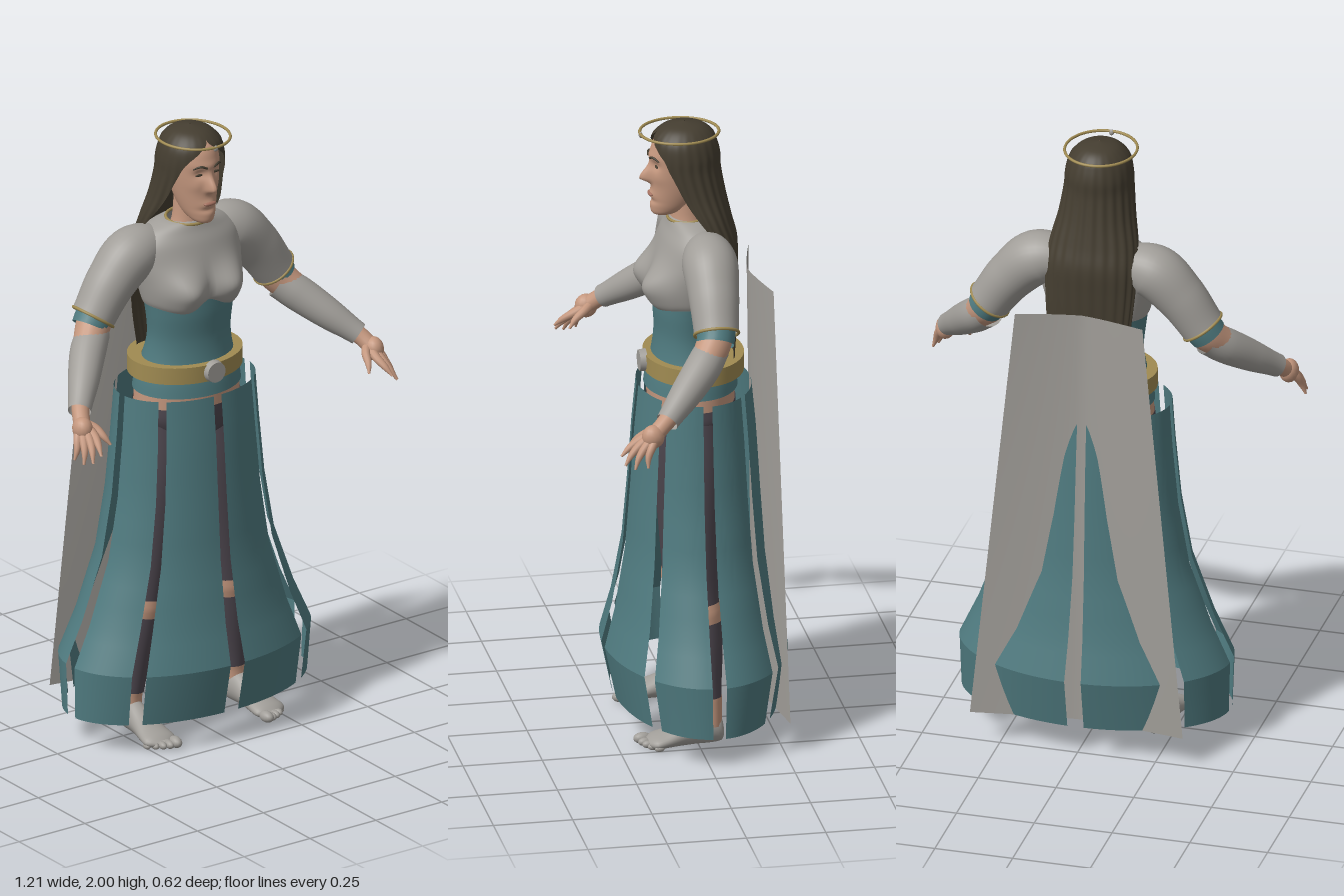
import * as THREE from 'three';
import { mergeVertices, toCreasedNormals } from 'three/addons/utils/BufferGeometryUtils.js';

const mat = (name, color, side = THREE.DoubleSide) => new THREE.MeshStandardMaterial({ name, color, side });
const M = {
  cloth: mat('grey cloth', 0xa19e99), teal: mat('teal cloth', 0x4f7a7f), hair: mat('dark brown hair', 0x443d30),
  skin: mat('skin', 0xc4977e), gold: mat('dull gold', 0xa08b52), legging: mat('dark legging', 0x4e474f),
  lip: mat('lip', 0xa3705f),
};
const { lerp } = THREE.MathUtils;
const V = (x, y, z) => new THREE.Vector3(x, y, z);
const bump = (d, w) => Math.exp(-((d / w) ** 2));

// Rectangular patch of points p(u, v), with coincident points joined
function grid(p, nu, nv, crease = 0) {
  const pos = [], idx = [];
  for (let j = 0; j <= nv; j++) for (let i = 0; i <= nu; i++) pos.push(...p(i / nu, j / nv).toArray());
  for (let j = 0; j < nv; j++) for (let i = 0; i < nu; i++) {
    const a = j * (nu + 1) + i, b = a + nu + 1;
    idx.push(a, a + 1, b + 1, a, b + 1, b);
  }
  let g = new THREE.BufferGeometry();
  g.setAttribute('position', new THREE.Float32BufferAttribute(pos, 3));
  g.setIndex(idx);
  g = mergeVertices(g, 1e-5);
  g.computeVertexNormals();
  return crease ? toCreasedNormals(g, crease) : g;
}

// Interpolates a table of rows, smoothly or in straight steps
function sample(rows, t, smooth = true) {
  const f = t * (rows.length - 1), i = Math.min(Math.floor(f), rows.length - 2), k = f - i;
  const at = n => rows[Math.max(0, Math.min(rows.length - 1, n))];
  return rows[i].map((b, c) => {
    const a = at(i - 1)[c], d = at(i + 1)[c], e = at(i + 2)[c];
    if (!smooth) return lerp(b, d, k);
    return b + 0.5 * k * (d - a + k * (2 * a - 5 * b + 4 * d - e + k * (3 * (b - d) + e - a)));
  });
}

// Body of elliptical rings; rows are [y, half width, front z, back z], rising
function loft(rows, { nu = 40, nv = 40, smooth = true, crease = 0, warp = p => p } = {}) {
  return grid((u, v) => {
    const [y, rx, zf, zb] = sample(rows, v, smooth), a = u * Math.PI * 2;
    return warp(V(rx * Math.sin(a), y, (zf + zb) / 2 + (zf - zb) / 2 * Math.cos(a)));
  }, nu, nv, crease);
}

// Round limb of changing radius along a curve
function limb(pts, radii, nu = 20, nv = 20) {
  const curve = new THREE.CatmullRomCurve3(pts.map(p => V(...p)));
  const fr = curve.computeFrenetFrames(nv), rows = radii.map(r => [r]);
  return grid((u, v) => {
    const a = u * Math.PI * 2, r = sample(rows, v)[0], j = Math.round(v * nv);
    return curve.getPoint(v).addScaledVector(fr.normals[j], r * Math.cos(a)).addScaledVector(fr.binormals[j], r * Math.sin(a));
  }, nu, nv);
}

export function createModel() {
  const model = new THREE.Group();
  const add = (name, geo, m, parent = model) => {
    const mesh = new THREE.Mesh(geo, m);
    mesh.name = name;
    parent.add(mesh);
    return mesh;
  };
  const ball = (name, m, pos, size, parent) => {
    const b = add(name, new THREE.SphereGeometry(1, 16, 12), m, parent);
    b.position.set(...pos);
    b.scale.set(...size);
    return b;
  };

  // Head and neck
  add('head', loft([[1.692, .004, .085, .06], [1.702, .03, .106, .03], [1.725, .046, .112, -.02], [1.765, .059, .11, -.05],
    [1.81, .068, .11, -.065], [1.86, .074, .112, -.07], [1.91, .075, .11, -.072], [1.95, .066, .092, -.06], [1.98, .03, .05, -.03]], {
    nu: 72, nv: 72, warp: p => {
      if (p.z < .04) return p;
      const ax = Math.abs(p.x), y = p.y;
      p.z += .036 * bump(ax, .014) * bump(y - 1.818, y > 1.818 ? .036 : .013)
        + .006 * bump(y - 1.765, .012) * bump(ax, .024) - .006 * bump(y - 1.745, .008) * bump(ax, .03)
        - .010 * bump(ax - .03, .017) * bump(y - 1.866, .015) + .004 * bump(y - 1.893, .012) * bump(ax, .05)
        + .004 * bump(ax - .042, .02) * bump(y - 1.825, .02);
      return p;
    },
  }), M.skin);
  add('neck', loft([[1.64, .068, .055, -.07], [1.69, .052, .048, -.055], [1.77, .047, .05, -.05]], { nv: 10 }), M.skin);
  ball('lips', M.lip, [0, 1.766, .111], [.023, .007, .009]);
  for (const s of [1, -1]) {
    ball('eyelid', M.hair, [s * .031, 1.864, .098], [.015, .004, .004]);
    add('eyebrow', limb([[s * .012, 1.888, .116], [s * .033, 1.896, .11], [s * .052, 1.886, .094]], [.003, .004, .002], 8, 10), M.hair);
  }

  // Long hair: rows are [y, half width, depth radius, centre z, opening angle]
  const hairRows = [[1.235, .105, .014, -.13, 1.6], [1.35, .125, .028, -.125, 1.6], [1.45, .136, .04, -.117, 1.6],
    [1.54, .143, .056, -.102, 1.6], [1.62, .145, .072, -.085, 1.55], [1.69, .138, .085, -.055, 1.3], [1.77, .12, .1, -.022, 1.12],
    [1.85, .109, .108, 0, .98], [1.9, .106, .11, .004, .76], [1.94, .098, .103, .007, .34], [1.965, .083, .09, .006, .03],
    [1.988, .053, .058, .005, 0], [2, .002, .002, .004, 0]];
  add('hair', grid((u, v) => {
    const [y, rx, rz, cz, open] = sample(hairRows, v);
    const a = lerp(Math.max(0, open), Math.PI * 2 - Math.max(0, open), u);
    const strand = 1 + .016 * Math.sin(a * 22) * Math.min(1, (2 - y) * 6);
    return V(rx * strand * Math.sin(a), y, cz + rz * strand * Math.cos(a));
  }, 120, 60), M.hair);

  // Circlet with a small stone
  const circlet = add('circlet', new THREE.TorusGeometry(.112, .0045, 8, 64).rotateX(Math.PI / 2), M.gold);
  circlet.position.set(0, 1.966, .02);
  circlet.scale.z = 1.1;
  ball('circletStone', M.cloth, [0, 1.962, .142], [.008, .01, .006]);

  // Blouse, with a scalloped hem under the bust
  add('blouse', loft([[1.425, .157, .1, -.112], [1.445, .165, .108, -.117], [1.5, .178, .108, -.126], [1.56, .19, .098, -.132],
    [1.62, .188, .08, -.13], [1.66, .148, .062, -.11], [1.683, .1, .054, -.085], [1.69, .07, .05, -.065]], {
    nu: 72, nv: 48, warp: p => {
      const front = p.z > 0 ? Math.min(1, p.z / .05) : 0, ax = Math.abs(p.x);
      p.z += front * .055 * bump(ax - .085, .066) * bump(p.y - 1.482, .062);
      p.y += bump(p.y - 1.425, .02) * front * (.018 * bump(ax, .04) - .012 * bump(ax - .09, .05));
      return p;
    },
  }), M.cloth);
  const necklace = add('necklace', new THREE.TorusGeometry(.073, .005, 8, 48).rotateX(Math.PI / 2 + .08), M.gold);
  necklace.position.set(0, 1.687, -.006);
  necklace.scale.z = .86;

  // Corset, belt, buckle and hips
  add('corset', loft([[1.13, .18, .13, -.16], [1.18, .172, .122, -.15], [1.24, .152, .106, -.125], [1.31, .142, .098, -.104],
    [1.39, .15, .102, -.104], [1.455, .16, .1, -.115]]), M.teal);
  add('belt', loft([[1.18, .16, .105, -.145], [1.18, .19, .132, -.18], [1.235, .19, .132, -.18], [1.235, .15, .1, -.13]],
    { nu: 64, nv: 3, smooth: false, crease: .6 }), M.gold);
  const buckle = add('buckle', new THREE.CylinderGeometry(.033, .036, .022, 32).rotateX(Math.PI / 2), M.cloth);
  buckle.position.set(0, 1.21, .137);
  add('hipSkin', loft([[1.085, .178, .12, -.15], [1.14, .176, .122, -.152]], { nv: 4 }), M.skin);
  add('leggingHips', loft([[.955, .03, .05, -.07], [.99, .14, .095, -.13], [1.04, .18, .115, -.15], [1.09, .18, .122, -.153]], { nv: 16 }), M.legging);

  // Skirt of eight flared panels
  const skirtRows = [[.1, .43, .25], [.27, .435, .286], [.4, .375, .253], [.6, .302, .22], [.8, .266, .204], [1, .247, .19], [1.135, .238, .177]];
  for (const [name, a0, a1] of [['frontPanel', 3.5, 42.5], ['frontSidePanel', 49.5, 85.5], ['backSidePanel', 94.5, 130.5], ['backPanel', 137.5, 176.5]])
    for (const s of [1, -1]) add(name, grid((u, v) => {
      const [y, rx, rz] = sample(skirtRows, v, false);
      const a = THREE.MathUtils.degToRad(s > 0 ? lerp(a0, a1, u) : -lerp(a1, a0, u));
      return V(rx * Math.sin(a), y, -.025 + rz * Math.cos(a));
    }, 14, 18, .38), M.teal);

  // Cape hanging behind, hollow along the middle
  add('cape', grid((u, v) => {
    const k = 1 - 2 * u;
    return V(k * lerp(.342, .205, v), lerp(.1, 1.49, v), lerp(-.222, -.195, v) - .043 * Math.abs(k) ** 1.3);
  }, 24, 24), M.cloth);

  for (const s of [1, -1]) {
    // Arm: sleeve, trim, cuff, forearm
    const arm = new THREE.Group();
    arm.name = s > 0 ? 'leftArm' : 'rightArm';
    model.add(arm);
    const side = pts => pts.map(([x, y, z]) => [s * x, y, z]);
    add('sleeve', limb(side([[.09, 1.605, -.04], [.185, 1.595, -.04], [.27, 1.52, -.037], [.342, 1.42, -.032]]), [.065, .086, .079, .07], 32, 24), M.cloth, arm);
    const trim = add('sleeveTrim', new THREE.TorusGeometry(.069, .005, 8, 32), M.gold, arm);
    trim.position.set(s * .342, 1.42, -.032);
    trim.quaternion.setFromUnitVectors(V(0, 0, 1), V(s * .58, -.81, .04).normalize());
    add('elbow', limb(side([[.3, 1.475, -.035], [.345, 1.4, -.025], [.39, 1.35, .01]]), [.052, .055, .05]), M.skin, arm);
    add('armBand', limb(side([[.322, 1.445, -.033], [.34, 1.418, -.031], [.358, 1.392, -.025]]), [.06, .06, .059], 24, 6), M.teal, arm);
    add('forearmSleeve', limb(side([[.352, 1.375, -.018], [.4, 1.335, .022], [.465, 1.275, .09], [.53, 1.215, .16]]), [.053, .056, .049, .036], 28, 24), M.cloth, arm);

    // Hand: palm, four fingers and thumb
    add('wrist', limb(side([[.515, 1.228, .145], [.535, 1.205, .175], [.552, 1.175, .21]]), [.029, .027, .027], 16, 8), M.skin, arm);
    ball('palm', M.skin, [s * .552, 1.178, .208], [.031, .038, .036], arm);
    const digits = [[[.535, 1.165, .245], [.552, 1.12, .308]], [[.553, 1.158, .245], [.577, 1.098, .3]],
      [[.566, 1.155, .232], [.592, 1.088, .272]], [[.575, 1.155, .215], [.599, 1.092, .232]], [[.513, 1.175, .222], [.49, 1.13, .272]]];
    digits.forEach(([mid, tip], i) => {
      const knuckle = mid.map((c, k) => lerp(c, tip[k], .5));
      knuckle[2] += .006;
      add(i < 4 ? 'finger' : 'thumb', limb(side([[.543, 1.19, .19], mid, knuckle, tip]), [.016, .014, .0105, .004], 10, 14), M.skin, arm);
    });

    // Leg with bare patches at knee and ankle
    const leg = new THREE.Group();
    leg.name = s > 0 ? 'leftLeg' : 'rightLeg';
    model.add(leg);
    add('legging', limb(side([[.095, 1.06, -.02], [.115, .85, -.01], [.15, .53, -.01], [.175, .33, -.025], [.195, .13, -.035]]), [.085, .088, .062, .057, .04], 24, 30), M.legging, leg);
    add('kneeSkin', limb(side([[.158, .45, -.015], [.162, .42, -.018], [.166, .39, -.021]]), [.061, .064, .061], 24, 6), M.skin, leg);
    add('ankle', limb(side([[.194, .15, -.036], [.198, .11, -.038], [.2, .06, -.038]]), [.041, .038, .038], 20, 8), M.skin, leg);

    // Foot lofted from heel to toe, with toes
    const foot = new THREE.Group();
    foot.name = 'foot';
    foot.position.set(s * .2, 0, 0);
    foot.rotation.y = s * .06;
    leg.add(foot);
    add('sole', loft([[-.083, .006, -.02, -.04], [-.072, .03, -.004, -.085], [-.04, .038, 0, -.105], [0, .038, 0, -.1],
      [.05, .043, 0, -.076], [.1, .052, 0, -.055], [.14, .054, 0, -.042], [.16, .03, -.008, -.03]], { nu: 28, nv: 28 }).rotateX(Math.PI / 2), M.cloth, foot);
    [.018, .013, .012, .011, .01].forEach((r, i) =>
      ball('toe', M.cloth, [s * (-.037 + i * .0205), r * 1.05, .168 - i * i * .0022], [r, r, r * 1.6], foot));
  }
  return model;
}
